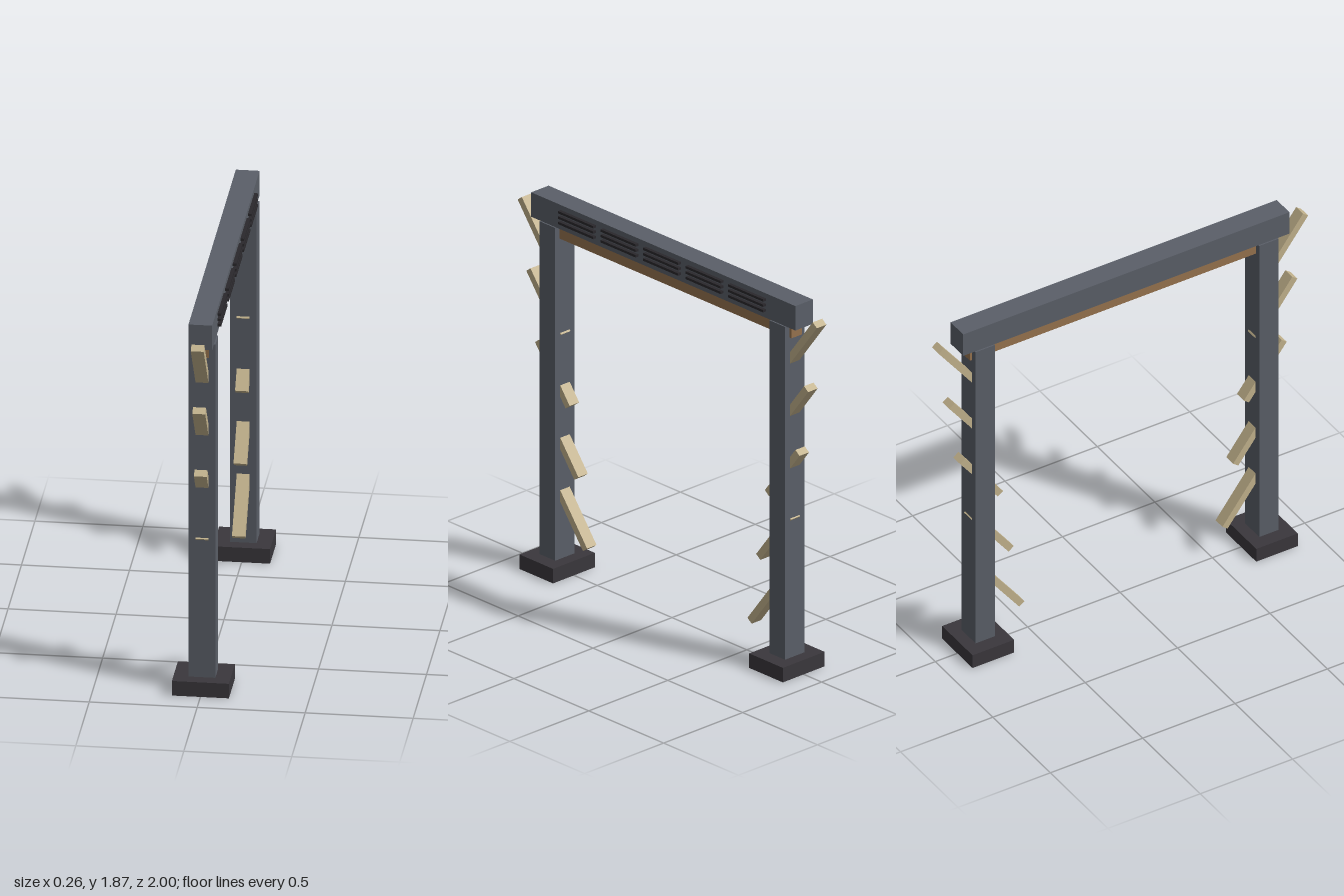
import * as THREE from 'three';

const mat = (name, color) => {
  const m = new THREE.MeshStandardMaterial({ color });
  m.name = name;
  return m;
};

export function createModel() {
  const steel = mat('slate grey', 0x5a5f68);
  const concrete = mat('dark charcoal', 0x3a373c);
  const fin = mat('black vent', 0x2a282c);
  const pale = mat('pale wood', 0xc2b28c);
  const brown = mat('brown wood', 0x96724e);

  const model = new THREE.Group();
  model.name = 'gateway';

  const box = (parent, name, material, size, pos) => {
    const mesh = new THREE.Mesh(new THREE.BoxGeometry(...size), material);
    mesh.name = name;
    mesh.position.set(...pos);
    parent.add(mesh);
    return mesh;
  };

  // Lintel across the top and the wooden rail below it
  box(model, 'lintel', steel, [0.11, 0.123, 1.766], [0, 1.8095, 0]);
  box(model, 'woodRail', brown, [0.066, 0.049, 1.666], [0, 1.71, 0]);

  // Five vents of three fins on the lintel's left face
  for (let i = -2; i <= 2; i++) {
    const vent = new THREE.Group();
    vent.name = 'vent';
    for (let j = -1; j <= 1; j++) {
      box(vent, 'ventFin', fin, [0.022, 0.012, 0.235], [0.061, 1.813 + j * 0.027, i * 0.284]);
    }
    model.add(vent);
  }

  // Two mirrored posts, each with a foot and five slanted planks passing through
  const postZ = 0.768;
  for (const side of [1, -1]) {
    const leg = new THREE.Group();
    leg.name = side > 0 ? 'frontLeg' : 'backLeg';
    box(leg, 'foot', concrete, [0.264, 0.073, 0.225], [0, 0.0365, side * postZ]);
    box(leg, 'post', steel, [0.124, 1.717, 0.105], [0, 0.8895, side * postZ]);

    // Planks step inward as they go down
    for (let i = -2; i <= 2; i++) {
      const plank = box(leg, 'plank', pale, [0.06, 0.035, 0.337],
        [0, 0.986 + i * 0.34, side * (postZ + i * 0.058)]);
      plank.rotation.x = -side * 0.92;
    }
    model.add(leg);
  }
  return model;
}
